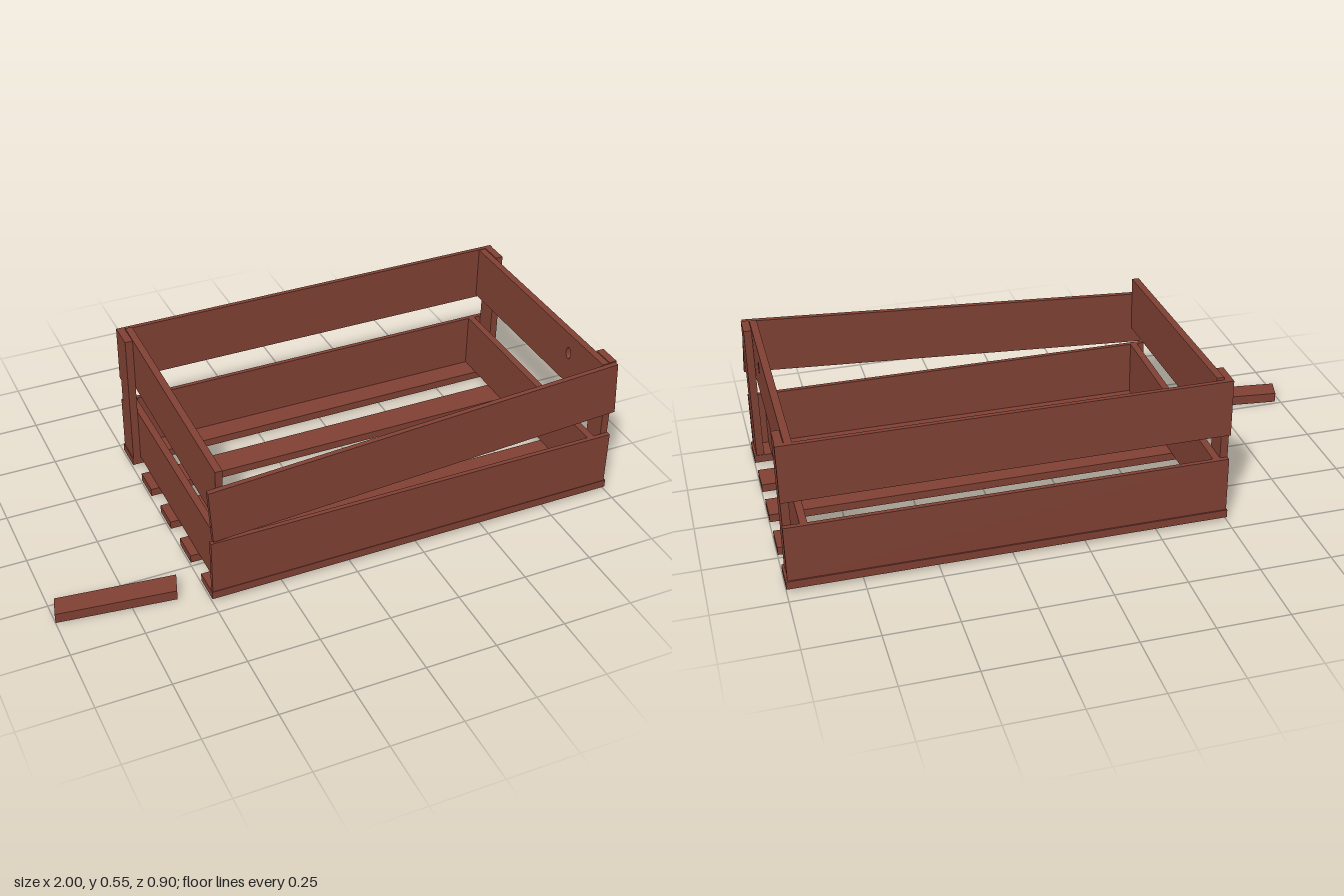
import * as THREE from 'three';

const wood = new THREE.MeshStandardMaterial({ color: 0x7f4033, flatShading: true });

export function createModel() {
  const crate = new THREE.Group();
  crate.name = 'brokenCrate';

  const add = (name, geometry, x = 0, y = 0, z = 0) => {
    const mesh = new THREE.Mesh(geometry, wood);
    mesh.name = name;
    mesh.position.set(x, y, z);
    crate.add(mesh);
    return mesh;
  };
  // Box given by its extents on each axis
  const plank = (name, [x0, x1], [y0, y1], [z0, z1]) =>
    add(name, new THREE.BoxGeometry(x1 - x0, y1 - y0, z1 - z0),
      (x0 + x1) / 2, (y0 + y1) / 2, (z0 + z1) / 2);

  // Floor slats
  for (const z of [-0.4, -0.2, 0, 0.196, 0.397])
    plank('floorSlat', [-0.5, 1], [0.013, 0.042], [z - 0.051, z + 0.051]);

  // Long side boards; the upper front one hangs down at one end
  const length = [-0.497, 0.994];
  plank('frontLowerBoard', length, [0.042, 0.242], [0.43, 0.446]);
  plank('backLowerBoard', length, [0.042, 0.242], [-0.446, -0.43]);
  plank('backUpperBoard', length, [0.335, 0.54], [-0.446, -0.43]);
  const hanging = plank('frontUpperBoard', length, [0.295, 0.493], [0.431, 0.449]);
  hanging.rotation.z = 0.06;

  // Corner posts, one of which has fallen off
  for (const [x0, x1, side] of [[0.965, 0.992, 1], [0.965, 0.992, -1], [-0.497, -0.47, -1]])
    plank('cornerPost', [x0, x1], [0.042, 0.54],
      side > 0 ? [0.348, 0.43] : [-0.43, -0.348]);

  // End boards; the upper one on the damaged end slopes
  const width = [-0.43, 0.43];
  plank('rightEndLowerBoard', [0.913, 0.938], [0.042, 0.242], width);
  plank('leftEndLowerBoard', [-0.47, -0.445], [0.042, 0.242], width);
  const sloped = plank('leftEndUpperBoard', [-0.47, -0.445], [0.33, 0.53], width);
  sloped.rotation.x = 0.04;

  // Upper end board with a knot hole, drawn in (-z, y)
  const board = new THREE.Shape([[-0.43, 0.343], [0.43, 0.343], [0.43, 0.538], [-0.43, 0.538]]
    .map(([x, y]) => new THREE.Vector2(x, y)));
  board.holes.push(new THREE.Path().absellipse(-0.222, 0.462, 0.014, 0.023, 0, Math.PI * 2, true));
  const knotted = add('rightEndUpperBoard',
    new THREE.ExtrudeGeometry(board, { depth: 0.025, bevelEnabled: false, curveSegments: 8 }), 0.938);
  knotted.rotation.y = Math.PI / 2;

  // Fallen post with slanted ends, drawn in (x, -z)
  const fallen = new THREE.Shape([[-1, -0.338], [-0.6, -0.388], [-0.575, -0.31], [-0.98, -0.262]]
    .map(([x, y]) => new THREE.Vector2(x, y)));
  const loose = add('fallenPost',
    new THREE.ExtrudeGeometry(fallen, { depth: 0.036, bevelEnabled: false }));
  loose.rotation.x = -Math.PI / 2;

  return crate;
}
